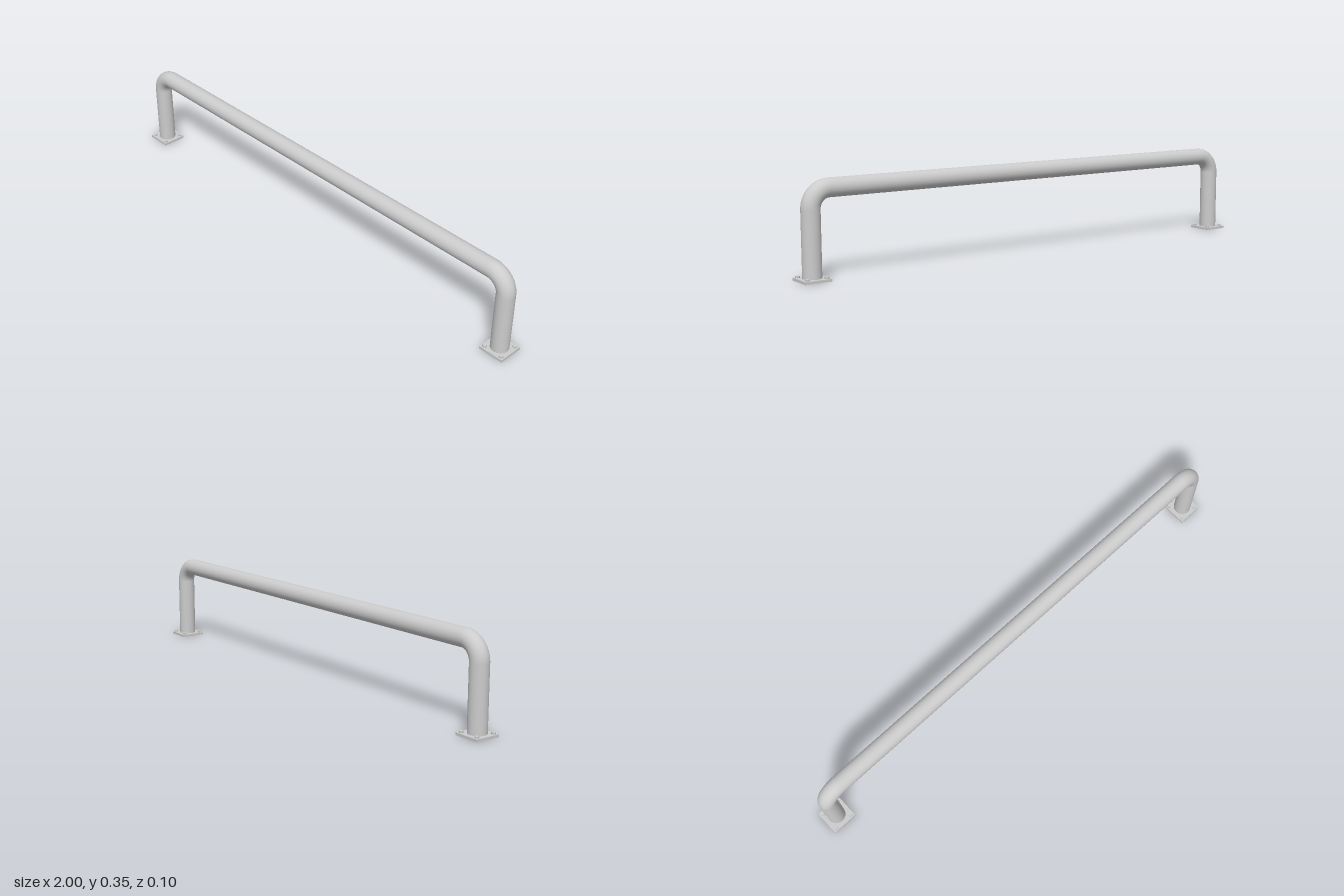
import * as THREE from 'three';

export function createModel() {
  const model = new THREE.Group();
  const metal = new THREE.MeshStandardMaterial({ color: 0xcccccc });
  const pipeMetal = new THREE.MeshStandardMaterial({ color: 0xcccccc, side: THREE.DoubleSide });

  const pipeR = 0.034, bendR = 0.07;
  const legX = 0.95, railY = 0.317;
  const plateHalf = 0.05, plateH = 0.01;
  const bendX = legX - bendR, bendY = railY - bendR;

  function add(parent, name, geometry, material, x, y, z) {
    const mesh = new THREE.Mesh(geometry, material);
    mesh.name = name;
    mesh.position.set(x, y, z);
    parent.add(mesh);
    return mesh;
  }

  // Long hollow rail between the two bends
  const rail = add(model, 'rail',
    new THREE.CylinderGeometry(pipeR, pipeR, bendX * 2, 40, 1, true), pipeMetal, 0, railY, 0);
  rail.rotation.z = Math.PI / 2;

  // Square base plate with a hole for the open pipe end
  const plateShape = new THREE.Shape([
    new THREE.Vector2(-plateHalf, -plateHalf), new THREE.Vector2(plateHalf, -plateHalf),
    new THREE.Vector2(plateHalf, plateHalf), new THREE.Vector2(-plateHalf, plateHalf),
  ]);
  plateShape.holes.push(new THREE.Path().absarc(0, 0, pipeR, 0, Math.PI * 2, true));
  const plateGeo = new THREE.ExtrudeGeometry(plateShape,
    { depth: plateH, bevelEnabled: false, curveSegments: 20 });
  plateGeo.rotateX(-Math.PI / 2);

  const legGeo = new THREE.CylinderGeometry(pipeR, pipeR, bendY, 40, 1, true);
  const bendGeo = new THREE.TorusGeometry(bendR, pipeR, 40, 20, Math.PI / 2);
  const boltGeo = new THREE.CylinderGeometry(0.008, 0.008, 0.006, 6);

  // Matching bend, leg and bolted foot at each end
  for (const side of [1, -1]) {
    const end = new THREE.Group();
    end.name = side > 0 ? 'leftEnd' : 'rightEnd';
    end.rotation.y = side > 0 ? 0 : Math.PI;
    model.add(end);
    add(end, 'bend', bendGeo, pipeMetal, bendX, bendY, 0);
    add(end, 'leg', legGeo, pipeMetal, legX, bendY / 2, 0);
    add(end, 'basePlate', plateGeo, metal, legX, 0, 0);
    for (const dx of [-1, 1]) {
      for (const dz of [-1, 1]) {
        add(end, 'bolt', boltGeo, metal, legX + dx * 0.037, plateH + 0.003, dz * 0.037);
      }
    }
  }
  return model;
}
